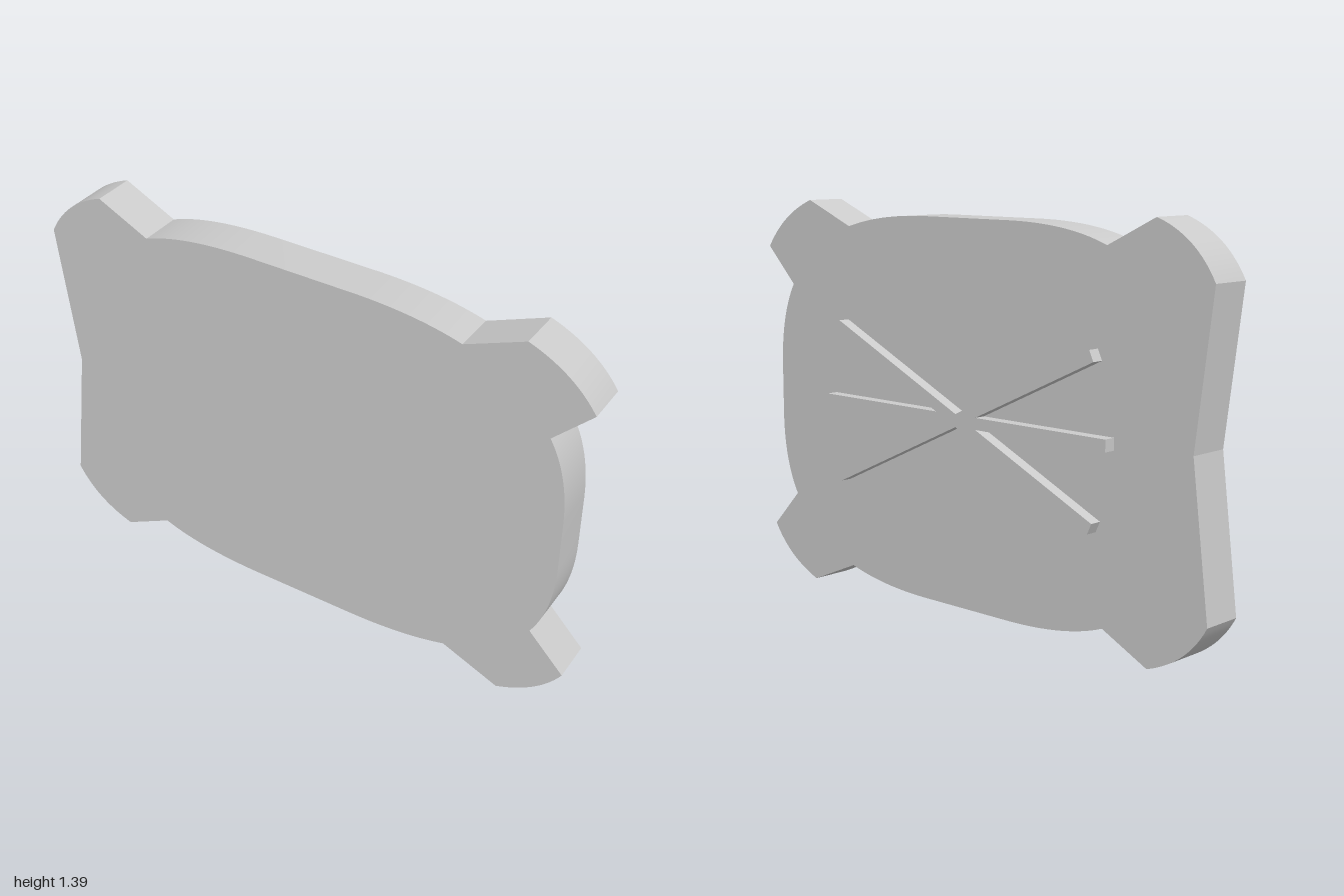
import * as THREE from 'three';
import { toCreasedNormals } from 'three/addons/utils/BufferGeometryUtils.js';

const MID_Y = 0.704;

// Outline of the plate: each row is an end point, or a control point and an end point
const OUTLINE = [
  // upper edge
  [-0.93, 1.345, -0.785, 1.394], [-0.6, 1.303],
  [-0.45, 1.362, -0.2, 1.363], [0.2, 1.363], [0.41, 1.36, 0.56, 1.315],
  // upper left corner lobe
  [0.767, 1.4], [0.92, 1.345, 0.998, 1.226], [0.866, 1.094],
  // bulging side
  [0.936, 0.98, 0.937, 0.8], [0.937, 0.608], [0.936, 0.43, 0.866, 0.314],
  // lower left corner lobe
  [0.994, 0.18], [0.92, 0.06, 0.767, 0.005],
  // lower edge
  [0.56, 0.094], [0.41, 0.049, 0.2, 0.047], [-0.2, 0.047],
  [-0.45, 0.048, -0.6, 0.107], [-0.778, 0.017],
  // lower right corner lobe and notched side
  [-0.93, 0.065, -1, 0.194], [-0.936, MID_Y], [-1, 1.212],
];

function createPlate() {
  const shape = new THREE.Shape();
  shape.moveTo(-1, 1.212);
  for (const p of OUTLINE) {
    if (p.length === 2) shape.lineTo(...p);
    else shape.quadraticCurveTo(...p);
  }
  const geometry = new THREE.ExtrudeGeometry(shape, {
    depth: 0.148, bevelEnabled: false, curveSegments: 14,
  });
  geometry.translate(0, 0, -0.053);
  return toCreasedNormals(geometry, 0.2);
}

export function createModel() {
  const model = new THREE.Group();
  model.name = 'panel';
  const material = new THREE.MeshStandardMaterial({ color: 0xcccccc });

  const plate = new THREE.Mesh(createPlate(), material);
  plate.name = 'plate';
  model.add(plate);

  // Three crossed ribs on the back
  const ribs = new THREE.Group();
  ribs.name = 'backRibs';
  const ribGeometry = new THREE.BoxGeometry(1.276, 0.04, 0.044);
  for (const angle of [-25, 0, 25]) {
    const rib = new THREE.Mesh(ribGeometry, material);
    rib.name = 'rib';
    rib.position.set(0, 0.7, -0.073);
    rib.rotation.z = THREE.MathUtils.degToRad(angle);
    ribs.add(rib);
  }
  model.add(ribs);
  return model;
}
